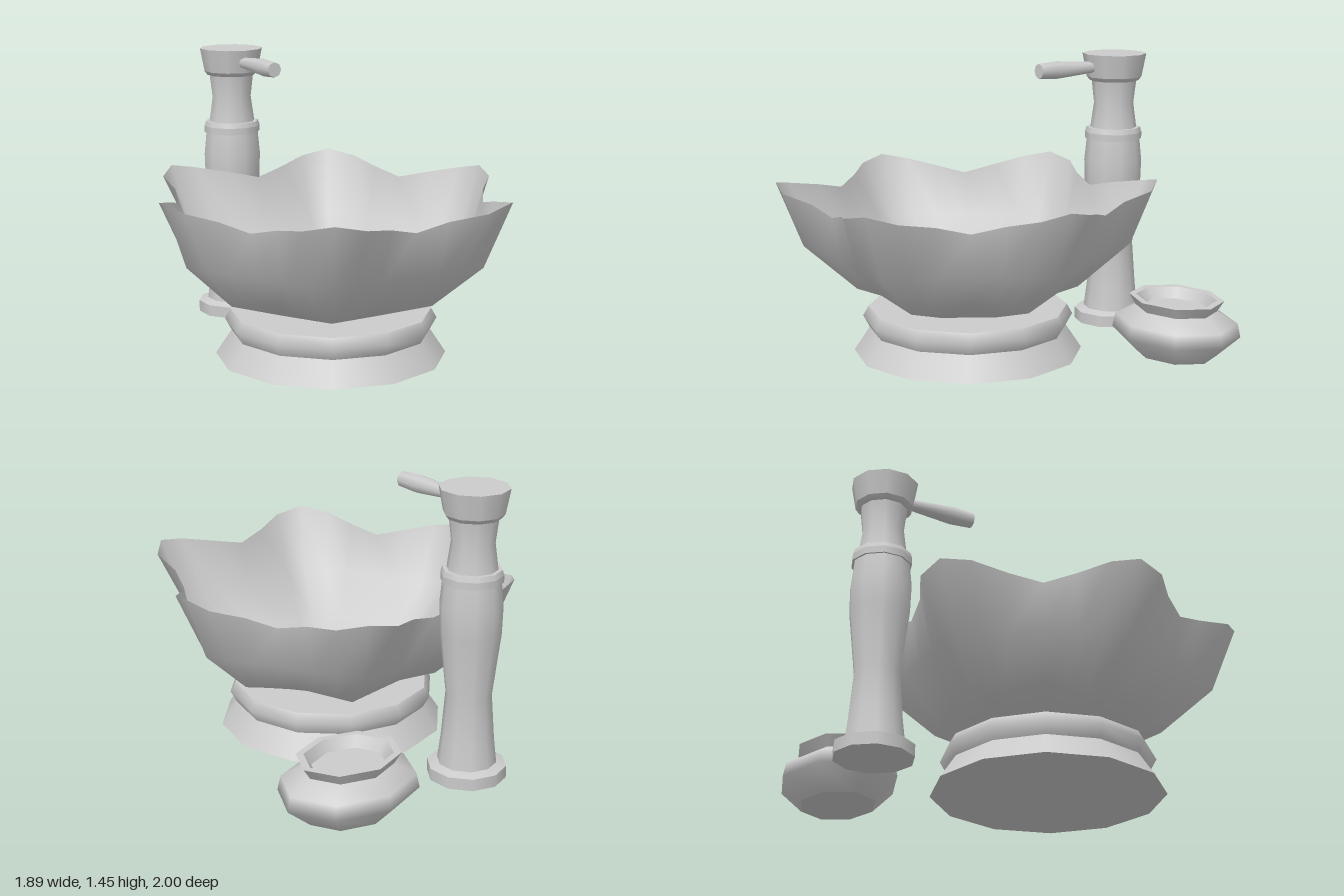
import * as THREE from 'three';

const material = new THREE.MeshStandardMaterial({ color: 0xcccccc, side: THREE.DoubleSide });

// Turned shape made of sections of [radius, height] pairs; edges between sections stay sharp.
function turned(name, sides, sections) {
  const group = new THREE.Group();
  group.name = name;
  for (const section of sections) {
    const points = section.map(([r, y]) => new THREE.Vector2(r, y));
    const mesh = new THREE.Mesh(new THREE.LatheGeometry(points, sides), material);
    mesh.name = name + 'Section';
    group.add(mesh);
  }
  return group;
}

const polar = (r, degrees, y) => {
  const angle = THREE.MathUtils.degToRad(degrees);
  return new THREE.Vector3(r * Math.cos(angle), y, r * Math.sin(angle));
};

// Six-petalled bowl: hexagonal lower rings with straight sides and a scalloped rim.
function petalBowl() {
  const offsets = [0, 9, 18.5, 30, 41.5, 51];
  const scallop = [1, 0.82, 0.22, 0, 0.22, 0.82];
  // Radius at the side tips, at the other tips and in the valleys; height at tip and valley.
  const rings = [
    { side: 0.28, tip: 0.28, valley: 0.243, yTip: 0.232, yValley: 0.232 },
    { side: 0.56, tip: 0.56, valley: 0.525, yTip: 0.32, yValley: 0.372 },
    { side: 0.797, tip: 0.825, valley: 0.71, yTip: 0.545, yValley: 0.55 },
    { side: 0.907, tip: 0.955, valley: 0.755, yTip: 0.872, yValley: 0.772, rim: true },
  ];
  const count = 36;
  const positions = [];
  const index = [];
  for (const ring of rings) {
    for (let i = 0; i < count; i++) {
      const step = i % 6;
      const start = Math.floor(i / 6) * 60;
      const tipAngle = start + (step > 3 ? 60 : 0);
      const tipRadius = tipAngle % 180 === 0 ? ring.side : ring.tip;
      const slope = Math.abs(offsets[step] - 30) / 30;
      const point = polar(ring.valley, start + 30, ring.yValley)
        .lerp(polar(tipRadius, tipAngle, ring.yTip), slope);
      if (ring.rim) {
        const r = THREE.MathUtils.lerp(ring.valley, tipRadius, scallop[step]);
        point.copy(polar(r, start + offsets[step], point.y));
      }
      positions.push(point.x, point.y, point.z);
    }
  }
  const centre = positions.length / 3;
  positions.push(0, 0.232, 0);
  for (let i = 0; i < count; i++) {
    const j = (i + 1) % count;
    index.push(centre, i, j);
    for (let k = 0; k < rings.length - 1; k++) {
      const a = k * count + i, b = k * count + j;
      index.push(a, a + count, b, b, a + count, b + count);
    }
  }
  const geometry = new THREE.BufferGeometry();
  geometry.setAttribute('position', new THREE.Float32BufferAttribute(positions, 3));
  geometry.setIndex(index);
  geometry.computeVertexNormals();
  const mesh = new THREE.Mesh(geometry, material);
  mesh.name = 'bowl';
  return mesh;
}

export function createModel() {
  const model = new THREE.Group();
  model.name = 'washbasinSet';

  // Basin: petal bowl on a stepped round foot
  const basin = new THREE.Group();
  basin.name = 'basin';
  basin.position.set(-0.04, 0, 0.145);
  basin.add(petalBowl());
  basin.add(turned('basinFoot', 12, [
    [[0, 0], [0.58, 0]],
    [[0.58, 0], [0.5, 0.12]],
    [[0.5, 0.12], [0.533, 0.18], [0.505, 0.23]],
    [[0.505, 0.23], [0, 0.23]],
  ]));
  model.add(basin);

  // Tap: turned column with collar and flared head
  const tap = new THREE.Group();
  tap.name = 'tap';
  tap.position.set(-0.097, 0, -0.8);
  tap.add(turned('tapColumn', 10, [
    [[0, 0], [0.194, 0]],
    [[0.194, 0], [0.194, 0.06]],
    [[0.194, 0.06], [0.145, 0.075]],
    [[0.145, 0.075], [0.13, 0.2], [0.112, 0.43], [0.148, 0.74], [0.152, 0.88], [0.14, 1.0]],
    [[0.14, 1.0], [0.15, 1.0]],
    [[0.15, 1.0], [0.15, 1.035]],
    [[0.15, 1.035], [0.142, 1.06]],
    [[0.142, 1.06], [0.122, 1.06]],
    [[0.122, 1.06], [0.104, 1.19], [0.118, 1.31]],
    [[0.118, 1.31], [0.13, 1.31], [0.145, 1.33]],
    [[0.145, 1.33], [0.168, 1.452]],
    [[0.168, 1.452], [0, 1.452]],
  ]));
  // Spout, pointing forward over the bowl
  const spout = turned('spout', 8, [
    [[0.026, 0], [0.03, 0.16], [0.046, 0.37], [0.039, 0.48]],
    [[0.039, 0.48], [0, 0.48]],
  ]);
  spout.rotation.x = Math.PI / 2;
  spout.position.y = 1.385;
  tap.add(spout);
  model.add(tap);

  // Small oval jar with an open flared rim
  const jar = turned('jar', 8, [
    [[0, 0], [0.23, 0]],
    [[0.23, 0], [0.362, 0.11], [0.345, 0.18], [0.23, 0.235]],
    [[0.23, 0.235], [0.268, 0.29]],
    [[0.268, 0.29], [0.228, 0.29]],
    [[0.228, 0.29], [0.19, 0.235]],
    [[0.19, 0.235], [0, 0.235]],
  ]);
  jar.scale.z = 0.81;
  jar.position.set(0.582, 0, -0.706);
  model.add(jar);

  return model;
}
